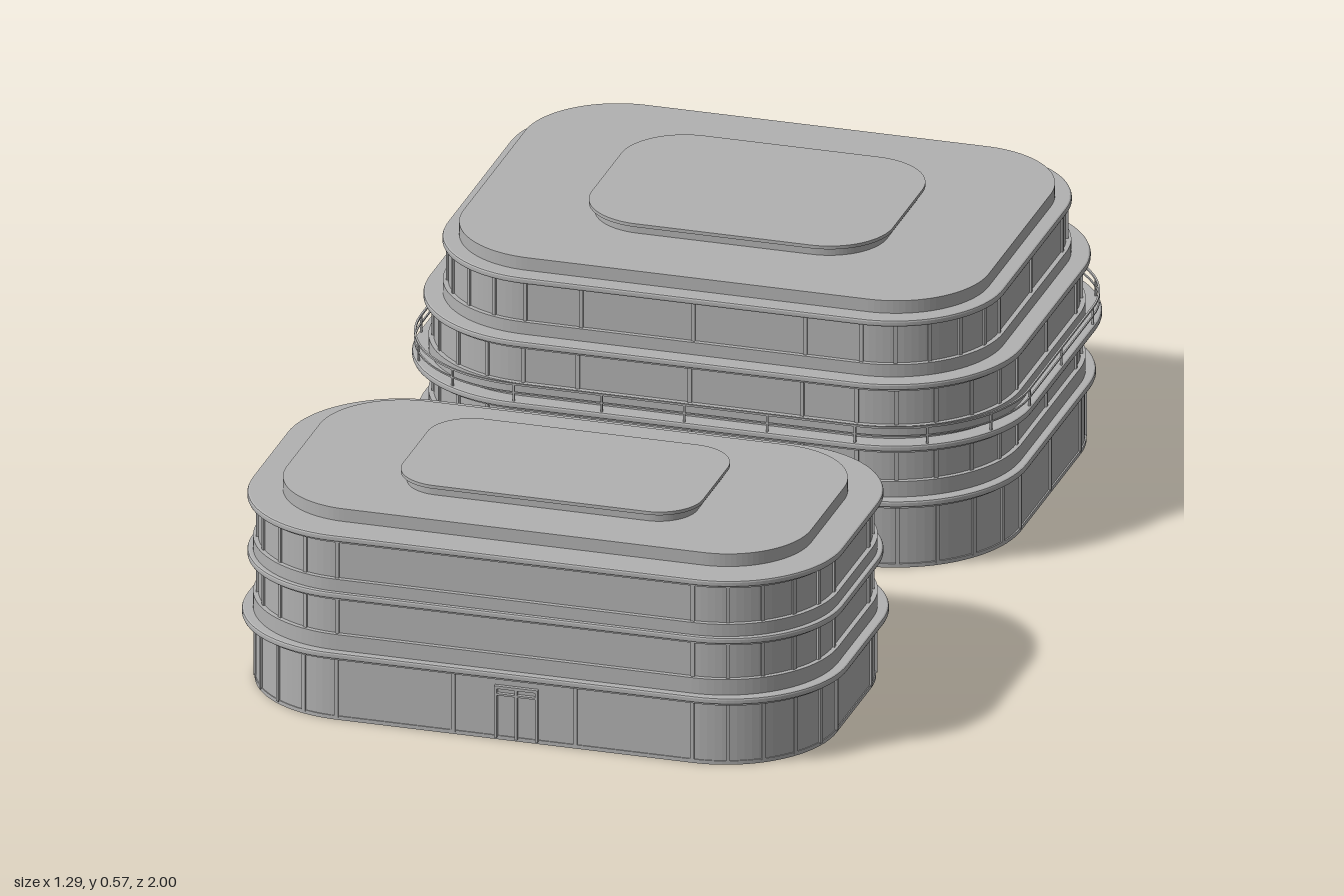
import * as THREE from 'three';
import { mergeGeometries } from 'three/addons/utils/BufferGeometryUtils.js';

const concrete = new THREE.MeshStandardMaterial({ color: 0xb2b2b2 });
concrete.name = 'pale grey concrete';

// Rounded rectangle outline, half sizes hx, hz and corner radius r
function outline(path, hx, hz, r) {
  path.moveTo(hx, -hz + r);
  path.absarc(hx - r, hz - r, r, 0, Math.PI / 2);
  path.absarc(-hx + r, hz - r, r, Math.PI / 2, Math.PI);
  path.absarc(-hx + r, -hz + r, r, Math.PI, Math.PI * 1.5);
  path.absarc(hx - r, -hz + r, r, Math.PI * 1.5, Math.PI * 2);
  return path;
}

// Level plate from y0 to y1; bevel rounds the rim, hollow leaves only a thin ring
function plate(group, name, [hx, hz, r], y0, y1, bevel = 0, hollow = 0) {
  const shape = outline(new THREE.Shape(), hx - bevel, hz - bevel, r - bevel);
  if (hollow) shape.holes.push(outline(new THREE.Path(), hx - hollow, hz - hollow, r - hollow));
  const geo = new THREE.ExtrudeGeometry(shape, {
    depth: y1 - y0 - 2 * bevel, curveSegments: 12,
    bevelEnabled: bevel > 0, bevelThickness: bevel, bevelSize: bevel, bevelSegments: 2,
  });
  geo.rotateX(-Math.PI / 2).translate(0, y0 + bevel, 0);
  const mesh = new THREE.Mesh(geo, concrete);
  mesh.name = name;
  group.add(mesh);
}

function post(x, z, y0, y1, width, depth, angle = 0) {
  return new THREE.BoxGeometry(width, y1 - y0, depth).rotateY(angle).translate(x, (y0 + y1) / 2, z);
}

// Upright bars round the outline: bars on each corner arc, plus bars at given x and z
function uprights(group, name, [hx, hz, r], y0, y1, xs, zs, size, steps = 5) {
  const bars = [];
  for (const sx of [-1, 1]) for (const sz of [-1, 1]) {
    for (let i = 0; i <= steps; i++) {
      const a = (i / steps) * Math.PI / 2;
      const x = sx * (hx - r + r * Math.cos(a));
      const z = sz * (hz - r + r * Math.sin(a));
      bars.push(post(x, z, y0, y1, size, size, Math.atan2(sx * Math.cos(a), sz * Math.sin(a))));
    }
  }
  for (const s of [-1, 1]) {
    for (const x of xs) bars.push(post(x, s * hz, y0, y1, size, size));
    for (const z of zs) bars.push(post(s * hx, z, y0, y1, size, size));
  }
  const mesh = new THREE.Mesh(mergeGeometries(bars), concrete);
  mesh.name = name;
  group.add(mesh);
}

// One storey: wall, sill band at its foot, window bars and floor slab on top
function storey(group, wall, slab, y0, y1, xs, zs, sill) {
  plate(group, 'wall', wall, y0, y1);
  const grown = wall.map((v) => v + 0.01);
  if (sill) plate(group, 'sillBand', grown, y0, y0 + sill);
  uprights(group, 'windowBars', wall, y0, y1, xs, zs, 0.008);
  plate(group, 'floorSlab', slab, y1, y1 + 0.014, 0.004);
  plate(group, 'slabSoffit', slab.map((v) => v - 0.012), y1 - 0.006, y1 + 0.002);
}

// Low raised roof with an overhanging lip
function rooftop(group, deck, box, y0) {
  plate(group, 'roofDeck', deck, y0, y0 + 0.027);
  plate(group, 'roofBox', box.map((v) => v - 0.012), y0 + 0.027, y0 + 0.046);
  plate(group, 'roofBoxLip', box, y0 + 0.045, y0 + 0.052);
}

function frontBuilding() {
  const g = new THREE.Group();
  g.name = 'frontBuilding';
  g.position.set(-0.03, 0, 0.64);
  const wall = [0.59, 0.34, 0.225];
  const upper = [0.585, 0.335, 0.22];
  plate(g, 'base', [0.592, 0.342, 0.227], 0, 0.008);
  storey(g, wall, [0.616, 0.36, 0.24], 0.005, 0.136, [-0.125, 0.125], [], 0);
  storey(g, upper, [0.606, 0.352, 0.235], 0.15, 0.261, [], [], 0.033);
  storey(g, upper, [0.606, 0.352, 0.235], 0.275, 0.383, [], [], 0.026);
  rooftop(g, [0.538, 0.28, 0.17], [0.308, 0.173, 0.09], 0.397);

  // Entrance frame with two leaves and a transom
  const z = wall[1] + 0.003;
  const parts = [-0.042, 0, 0.042].map((x) => post(x, z, 0.005, 0.115, 0.005, 0.01));
  parts.push(post(0, z, 0.11, 0.116, 0.089, 0.01), post(0, z, 0.096, 0.1, 0.089, 0.01));
  const door = new THREE.Mesh(mergeGeometries(parts), concrete);
  door.name = 'entranceDoor';
  door.position.x = 0.005;
  g.add(door);
  return g;
}

function rearBuilding() {
  const g = new THREE.Group();
  g.name = 'rearBuilding';
  g.position.set(0.011, 0, -0.508);
  const wall = [0.6, 0.455, 0.255];
  const upper = [0.592, 0.447, 0.25];
  const slab2 = [0.63, 0.492, 0.28];
  const xs = [-0.23, 0, 0.23];
  const zs = [0];
  plate(g, 'base', [0.603, 0.458, 0.258], 0, 0.008);
  storey(g, wall, [0.619, 0.478, 0.27], 0.005, 0.136, xs, zs, 0);
  storey(g, upper, slab2, 0.15, 0.261, xs, zs, 0.033);
  storey(g, upper, [0.609, 0.472, 0.265], 0.275, 0.383, xs, zs, 0.026);
  storey(g, [0.56, 0.425, 0.215], [0.571, 0.435, 0.225], 0.397, 0.503, xs, zs, 0.026);
  rooftop(g, [0.539, 0.397, 0.19], [0.309, 0.229, 0.13], 0.517);

  // Balcony railing round the second slab
  const rail = slab2.map((v) => v - 0.004);
  plate(g, 'topRail', rail, 0.309, 0.313, 0, 0.004);
  plate(g, 'middleRail', rail, 0.292, 0.295, 0, 0.003);
  uprights(g, 'railPosts', rail.map((v) => v - 0.002), 0.273, 0.311, [-0.17, 0, 0.17], [0], 0.004, 3);
  return g;
}

export function createModel() {
  const model = new THREE.Group();
  model.name = 'officeBuildings';
  model.add(frontBuilding(), rearBuilding());
  return model;
}
